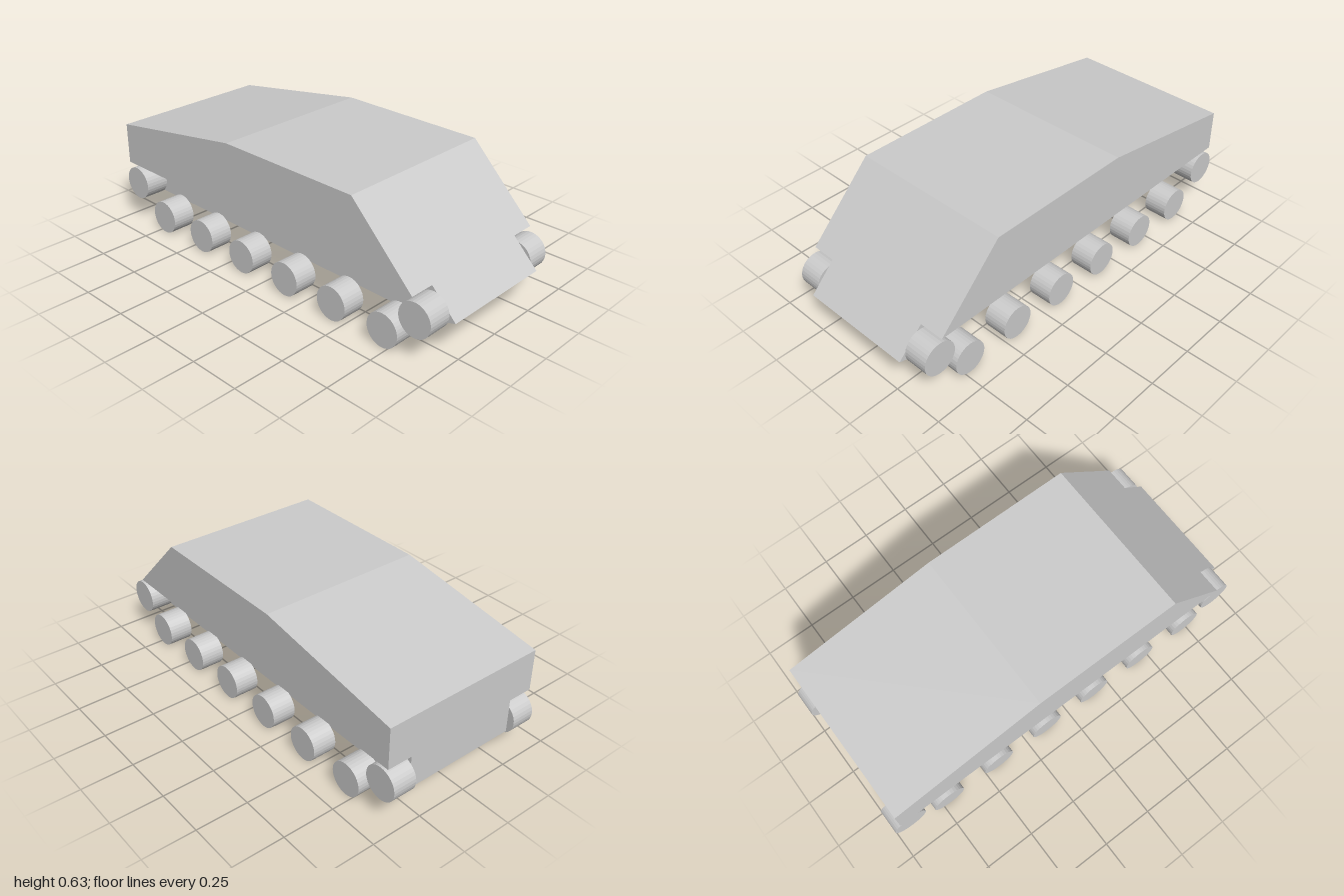
import * as THREE from 'three';

const material = new THREE.MeshStandardMaterial({ color: 0xcccccc, flatShading: true });

// Side profile given as [z, y] points, extruded across the width
function hullPart(name, profile, halfWidth) {
  const shape = new THREE.Shape(profile.map(([z, y]) => new THREE.Vector2(z, y)));
  const geometry = new THREE.ExtrudeGeometry(shape, { depth: 2 * halfWidth, bevelEnabled: false });
  geometry.translate(0, 0, -halfWidth).rotateY(-Math.PI / 2);
  const mesh = new THREE.Mesh(geometry, material);
  mesh.name = name;
  return mesh;
}

export function createModel() {
  const model = new THREE.Group();
  model.name = 'trackedVehicle';

  const hullHalf = 0.408, bellyHalf = 0.285, wheelOuter = 0.402;
  const radius = 0.082, shelf = 0.31;

  // Wide upper hull with sloped nose and falling rear deck
  model.add(hullPart('upperHull', [
    [0.875, shelf], [0.55, 0.635], [-0.2, 0.635], [-0.965, 0.513], [-0.965, shelf],
  ], hullHalf));

  // Narrow lower hull between the wheels, continuing the nose slope
  model.add(hullPart('lowerHull', [
    [0.86, 0.145], [1, 0.185], [0.875, shelf], [-0.965, shelf], [-0.965, 0.145],
  ], bellyHalf));

  // Road wheels on the ground, raised sprocket and idler at the ends
  const wheelGeometry = new THREE.CylinderGeometry(radius, radius, wheelOuter - bellyHalf, 32);
  wheelGeometry.rotateZ(Math.PI / 2);
  const wheels = [{ name: 'Sprocket', z: 0.886, y: 0.205 }, { name: 'Idler', z: -0.918, y: 0.205 }];
  for (let i = 0; i < 6; i++) {
    wheels.push({ name: `RoadWheel${i + 1}`, z: 0.722 - i * 0.287, y: radius });
  }
  for (const side of [1, -1]) {
    for (const { name, y, z } of wheels) {
      const wheel = new THREE.Mesh(wheelGeometry, material);
      wheel.name = (side > 0 ? 'left' : 'right') + name;
      wheel.position.set(side * (wheelOuter + bellyHalf) / 2, y, z);
      model.add(wheel);
    }
  }
  return model;
}
